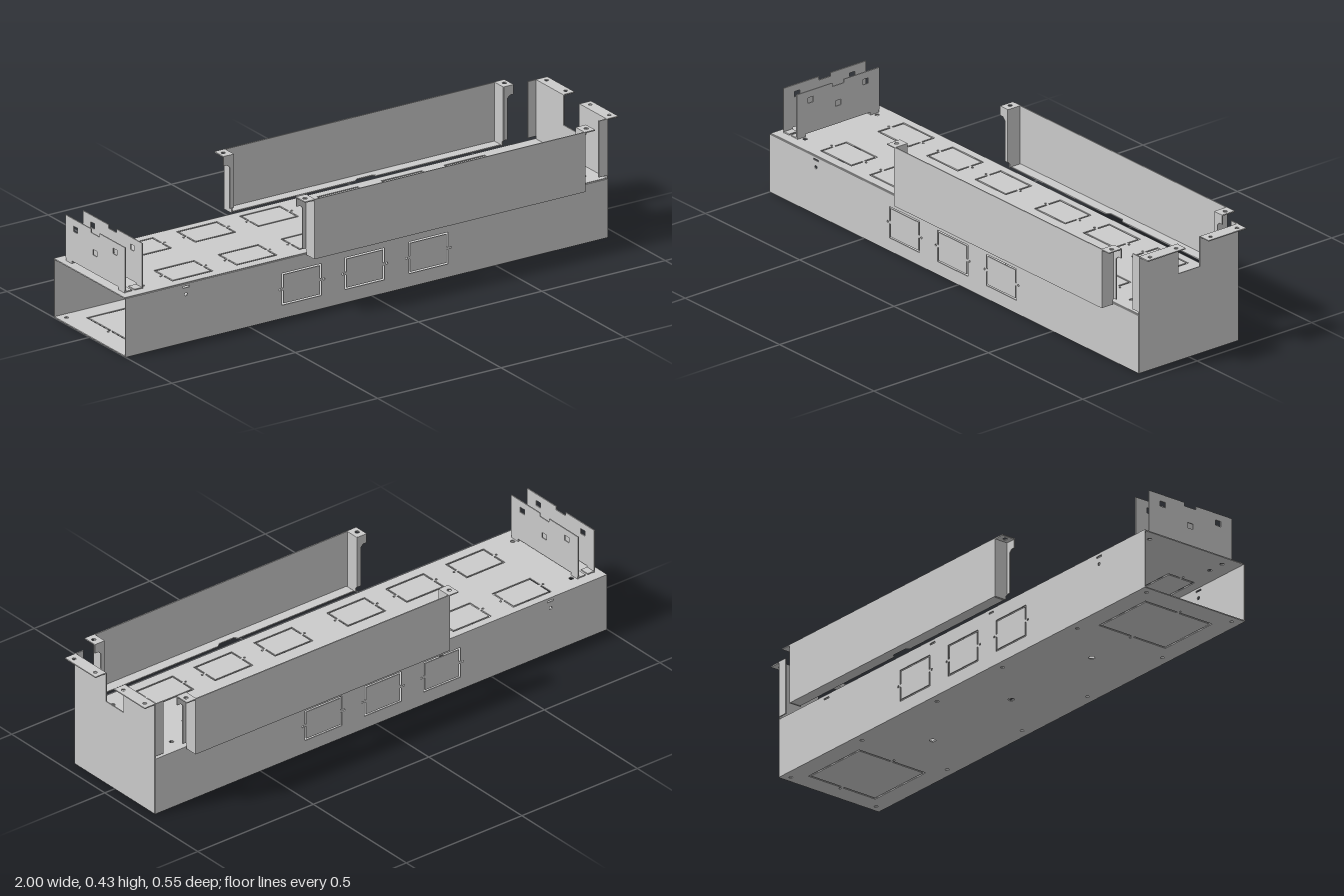
import * as THREE from 'three';

const T = 0.004; // sheet thickness
const mat = new THREE.MeshStandardMaterial({ color: 0xcccccc, side: THREE.DoubleSide });

const poly = (pts) => new THREE.Shape(pts.map(([a, b]) => new THREE.Vector2(a, b)));
const rect = (a0, a1, b0, b1) => poly([[a0, b0], [a1, b0], [a1, b1], [a0, b1]]);
const dot = (a, b, r) => new THREE.Path().absarc(a, b, r, 0, Math.PI * 2, true);

// Flat sheet lying in plane 'xy', 'zy' or 'xz', its lowest face at offset
function sheet(parent, name, shape, plane, offset) {
  const geo = new THREE.ExtrudeGeometry(shape, { depth: T, bevelEnabled: false, curveSegments: 6 });
  const mesh = new THREE.Mesh(geo, mat);
  mesh.name = name;
  if (plane === 'xy') mesh.position.z = offset;
  if (plane === 'zy') { mesh.rotation.y = -Math.PI / 2; mesh.position.x = offset + T; }
  if (plane === 'xz') { mesh.rotation.x = Math.PI / 2; mesh.position.y = offset + T; }
  parent.add(mesh);
  return mesh;
}

// Sheet with knockouts: slotted outlines around loose plates held by small bridges
function knockoutSheet(parent, name, shape, plane, offset, knockouts) {
  const gap = 0.006;
  for (const [a, b, w, h] of knockouts) {
    shape.holes.push(rect(a - w / 2, a + w / 2, b - h / 2, b + h / 2));
    const x = w / 2 - gap, y = h / 2 - gap, e = 0.005;
    const plate = poly([
      [a - x, b - y], [a + x, b - y], [a + x, b - e], [a + w / 2, b - e], [a + w / 2, b + e], [a + x, b + e],
      [a + x, b + y], [a - x, b + y], [a - x, b + e], [a - w / 2, b + e], [a - w / 2, b - e], [a - x, b - e]]);
    sheet(parent, name + 'Knockout', plate, plane, offset);
    for (const s of [-1, 1]) shape.holes.push(dot(a + s * (w / 2 + 0.009), b, 0.004));
  }
  sheet(parent, name, shape, plane, offset);
}

function buildTrough() {
  const g = new THREE.Group();
  g.name = 'trough';

  // Lid with two rows of knockouts and screw holes
  const lid = rect(-1, 0.955, -0.217, 0.213);
  for (const x of [-0.955, -0.89, 0.84, 0.9])
    for (const z of [-0.16, 0.155]) lid.holes.push(dot(x, z, 0.008));
  const lidKnockouts = [];
  for (const x of [-0.7, -0.44, -0.185, 0.13, 0.39, 0.645])
    for (const z of [-0.13, 0.12]) lidKnockouts.push([x, z, 0.165, 0.115]);
  knockoutSheet(g, 'lid', lid, 'xz', 0.211, lidKnockouts);

  // Side walls
  for (const z of [-0.217, 0.215]) {
    const wall = rect(-1, 0.955, 0, 0.213);
    for (const x of [-0.755, -0.18, 0.135, 0.7]) wall.holes.push(rect(x - 0.013, x + 0.013, 0.199, 0.205));
    wall.holes.push(dot(-0.755, 0.175, 0.006));
    knockoutSheet(g, 'sideWall', wall, 'xy', z,
      [-0.285, -0.03, 0.228].map((x) => [x, 0.106, 0.16, 0.116]));
  }

  // Floor with an access cover at each end and a line of small holes
  const floor = rect(-1, 0.955, -0.217, 0.217);
  for (const x of [-0.45, -0.02, 0.4]) floor.holes.push(dot(x, 0, 0.011));
  for (const x of [-0.97, -0.6, -0.2, 0.15, 0.55, 0.93])
    for (const z of [-0.185, 0.185]) floor.holes.push(dot(x, z, 0.007));
  knockoutSheet(g, 'floor', floor, 'xz', 0, [[-0.79, 0, 0.25, 0.29], [0.75, 0, 0.27, 0.29]]);
  return g;
}

function buildEndPlate() {
  const g = new THREE.Group();
  g.name = 'endPlate';
  // Tall plate notched at the top
  sheet(g, 'endSheet', poly([
    [-0.215, 0], [0.217, 0], [0.217, 0.43], [0.047, 0.43], [0.047, 0.32],
    [-0.047, 0.32], [-0.047, 0.43], [-0.215, 0.43]]), 'zy', 0.953);
  for (const s of [-1, 1]) {
    // Outward top flange
    const flange = rect(0.955, 1, Math.min(s * 0.05, s * 0.215), Math.max(s * 0.05, s * 0.215));
    for (const z of [0.075, 0.19]) flange.holes.push(dot(0.98, s * z, 0.007));
    sheet(g, 'topFlange', flange, 'xz', 0.426);
    // Inward side return
    sheet(g, 'sideReturn', rect(0.92, 0.955, 0.225, 0.43), 'xy', s > 0 ? 0.213 : -0.217);
  }
  return g;
}

// Side panel on the +z side: outer sheet, lower flange and folded ends
function buildSidePanel() {
  const g = new THREE.Group();
  g.name = 'sidePanel';
  sheet(g, 'panelSheet', rect(-0.27, 0.826, 0.213, 0.43), 'xy', 0.271);
  sheet(g, 'lowerFlange', poly([
    [-0.265, 0.232], [0.235, 0.232], [0.245, 0.244], [0.31, 0.244], [0.32, 0.232],
    [0.822, 0.232], [0.822, 0.275], [-0.265, 0.275]]), 'xz', 0.213);
  for (const s of [-1, 1]) {
    const X = (d) => 0.278 + s * d; // distance from the panel's middle
    sheet(g, 'endFold', poly([
      [0.227, 0.213], [0.275, 0.213], [0.275, 0.43], [0.22, 0.43], [0.22, 0.235], [0.227, 0.228]]), 'zy', X(0.548) - T / 2);
    sheet(g, 'endLip', poly([
      [X(0.548), 0.235], [X(0.563), 0.235], [X(0.563), 0.385], [X(0.573), 0.395],
      [X(0.588), 0.395], [X(0.588), 0.43], [X(0.548), 0.43]]), 'xy', 0.219);
    const tab = poly([[X(0.546), 0.22], [X(0.588), 0.22], [X(0.588), 0.275], [X(0.546), 0.275]]);
    tab.holes.push(dot(X(0.57), 0.248, 0.008));
    sheet(g, 'endTab', tab, 'xz', 0.426);
  }
  return g;
}

// Pair of upright plates near the open end
function buildBrackets() {
  const g = new THREE.Group();
  g.name = 'uprightBrackets';
  for (const [x, dir] of [[-0.977, 1], [-0.907, -1]]) {
    const plate = poly([
      [-0.18, 0.225], [0.18, 0.225], [0.18, 0.38], [0.025, 0.38], [0.025, 0.367],
      [-0.025, 0.367], [-0.025, 0.38], [-0.18, 0.38]]);
    for (const z of [-0.12, 0.12]) plate.holes.push(rect(z - 0.012, z + 0.012, 0.335, 0.355));
    plate.holes.push(rect(-0.012, 0.012, 0.29, 0.31));
    sheet(g, 'bracketPlate', plate, 'zy', x);
    // Feet resting on the lid
    for (const z of [-0.16, 0.16]) {
      sheet(g, 'bracketLeg', rect(z - 0.018, z + 0.018, 0.213, 0.228), 'zy', x);
      const foot = rect(Math.min(x, x + dir * 0.03), Math.max(x, x + dir * 0.03), z - 0.018, z + 0.018);
      sheet(g, 'bracketFoot', foot, 'xz', 0.216);
    }
  }
  return g;
}

export function createModel() {
  const model = new THREE.Group();
  model.name = 'cableTrough';
  const front = buildSidePanel();
  front.name = 'frontPanel';
  const back = buildSidePanel();
  back.name = 'backPanel';
  back.scale.z = -1;
  model.add(buildTrough(), buildEndPlate(), front, back, buildBrackets());
  return model;
}
